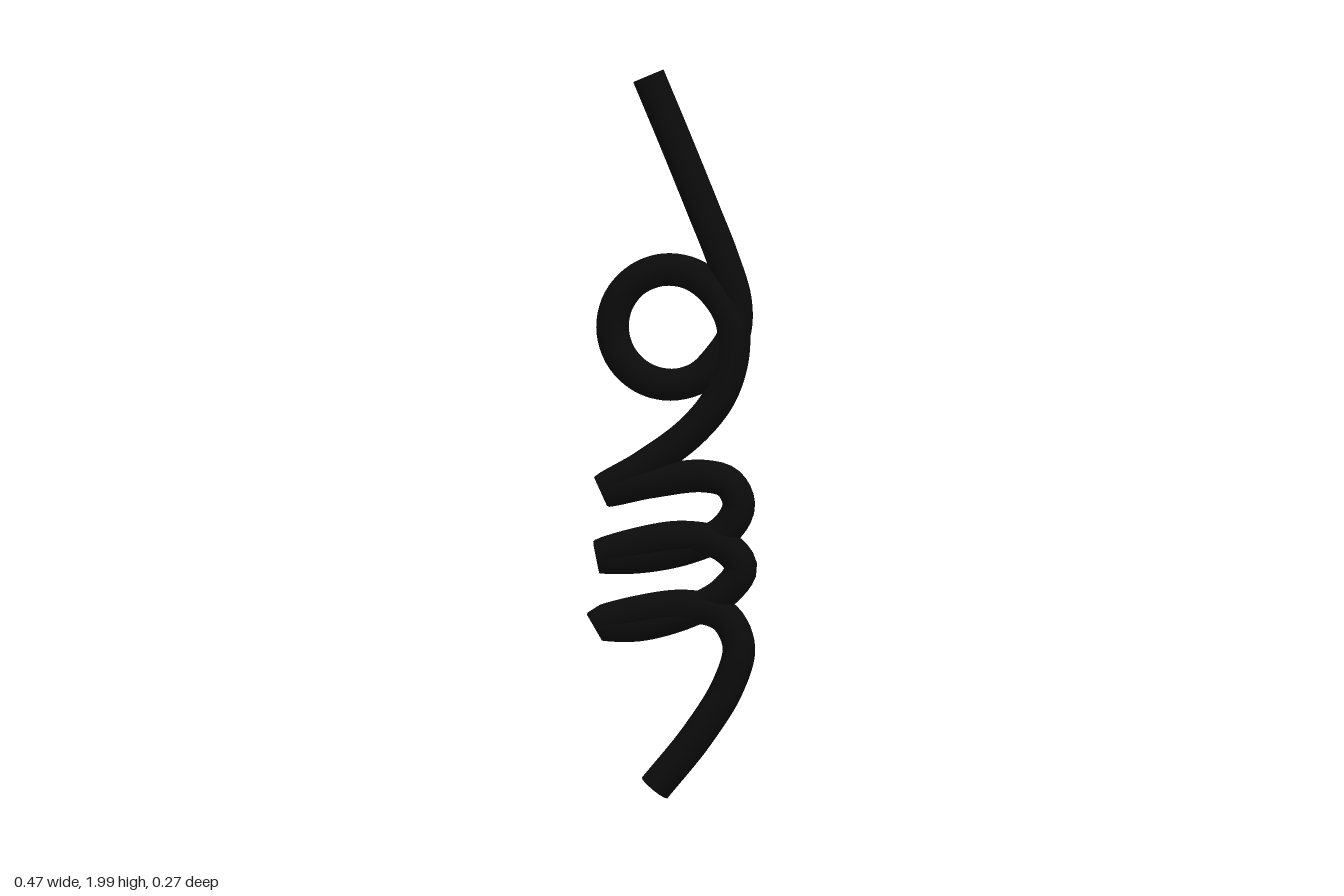
import * as THREE from 'three';

const RADIUS = 0.045;
const SIDES = 12;

export function createModel() {
  const group = new THREE.Group();
  const material = new THREE.MeshStandardMaterial({ color: 0x0b0b0b });

  // centre line of the wire, from the lower end to the upper end
  const path = [
    // lower tail and first bend
    [-0.035, 0.035, 0.09], [0.08, 0.18, 0.078], [0.165, 0.32, 0.065], [0.193, 0.43, 0.057],
    [0.15, 0.51, 0.05], [0.05, 0.535, 0.05],
    // lowest lobe
    [-0.09, 0.515, 0.05], [-0.193, 0.482, 0.052], [-0.09, 0.478, 0.048], [0.05, 0.518, 0.043],
    [0.15, 0.575, 0.04], [0.196, 0.645, 0.038], [0.145, 0.705, 0.04], [0.04, 0.725, 0.042],
    // middle lobe
    [-0.09, 0.703, 0.042], [-0.197, 0.665, 0.04], [-0.09, 0.665, 0.036], [0.05, 0.695, 0.032],
    [0.15, 0.745, 0.028], [0.188, 0.815, 0.026], [0.16, 0.875, 0.026], [0.09, 0.893, 0.026],
    // top lobe and rise to the ring
    [-0.06, 0.872, 0.024], [-0.187, 0.845, 0.018], [-0.08, 0.912, 0.014], [0.05, 1.01, 0.008],
    [0.13, 1.11, 0.002], [0.165, 1.22, -0.008], [0.16, 1.32, -0.018],
  ];
  // round ring, anticlockwise seen from the front
  for (let deg = 40; deg <= 330; deg += 29) {
    const a = THREE.MathUtils.degToRad(deg);
    const y = 1.295 + 0.158 * Math.sin(a);
    path.push([-0.012 + 0.16 * Math.cos(a), y, 0.095 - 0.09 * y - 0.008 * (deg / 330)]);
  }
  // upper tail
  path.push([0.165, 1.28, -0.03], [0.168, 1.37, -0.035], [0.13, 1.49, -0.043],
    [0.075, 1.62, -0.055], [-0.003, 1.8, -0.072], [-0.083, 1.98, -0.088]);

  const curve = new THREE.CatmullRomCurve3(path.map((p) => new THREE.Vector3(...p)), false, 'centripetal');
  const wire = new THREE.Mesh(new THREE.TubeGeometry(curve, 320, RADIUS, SIDES, false), material);
  wire.name = 'twistedWire';
  group.add(wire);

  // flat discs closing both ends
  for (const [name, t, sign] of [['lowerEndCap', 0, -1], ['upperEndCap', 1, 1]]) {
    const cap = new THREE.Mesh(new THREE.CircleGeometry(RADIUS, SIDES), material);
    cap.name = name;
    cap.position.copy(curve.getPointAt(t));
    const outward = curve.getTangentAt(t).multiplyScalar(sign);
    cap.quaternion.setFromUnitVectors(new THREE.Vector3(0, 0, 1), outward);
    group.add(cap);
  }
  return group;
}
